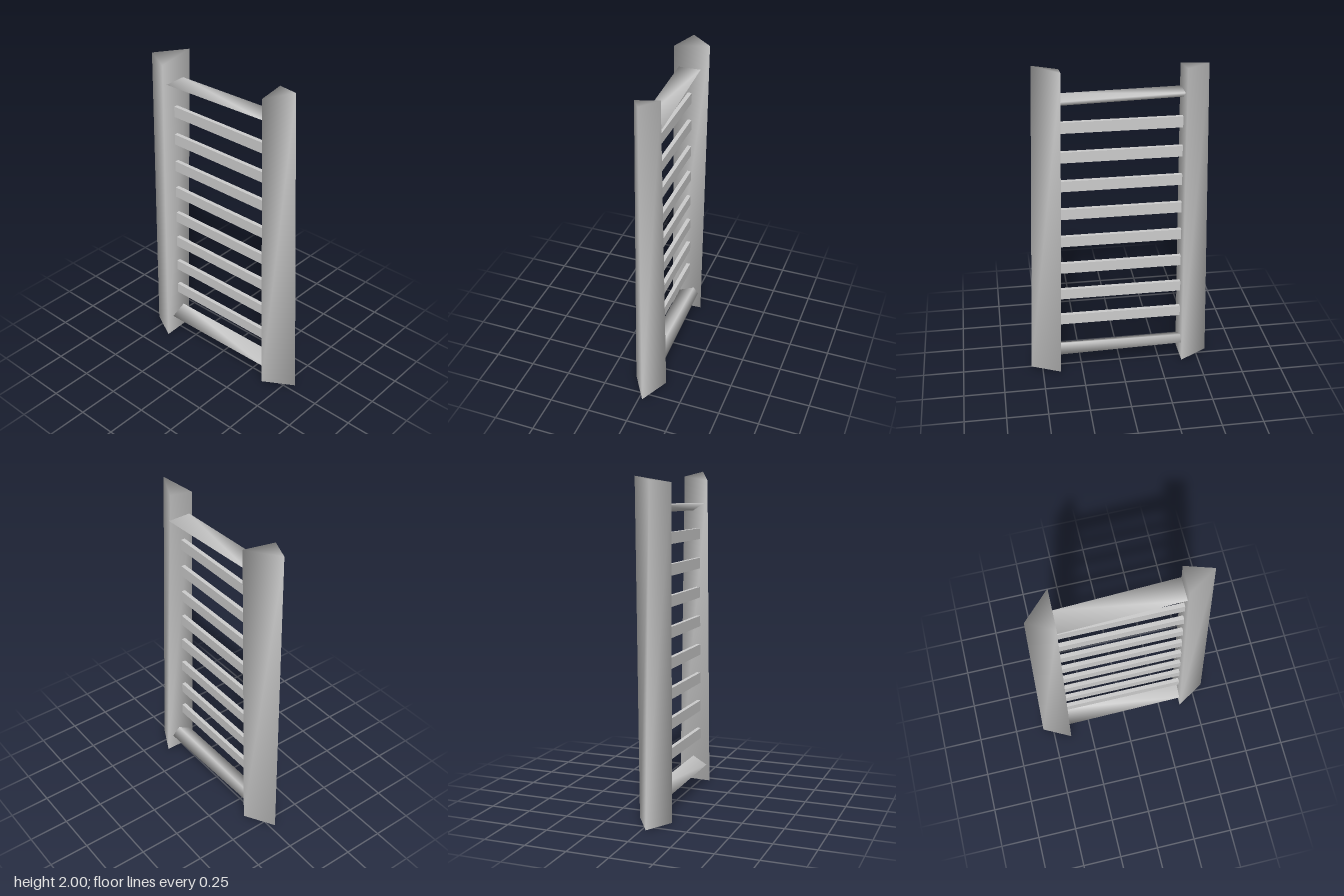
import * as THREE from 'three';

// Smooth three-sided prism between two triangles, counter-clockwise seen from the b end.
function prism(name, a, b, material) {
  const geometry = new THREE.BufferGeometry();
  geometry.setAttribute('position', new THREE.Float32BufferAttribute([...a, ...b].flat(), 3));
  const index = [0, 2, 1, 3, 4, 5];
  for (let i = 0; i < 3; i++) {
    const j = (i + 1) % 3;
    index.push(i, j, j + 3, i, j + 3, i + 3);
  }
  geometry.setIndex(index);
  geometry.computeVertexNormals();
  const mesh = new THREE.Mesh(geometry, material);
  mesh.name = name;
  return mesh;
}

export function createModel() {
  const group = new THREE.Group();
  group.name = 'ladder';
  const grey = new THREE.MeshStandardMaterial({ color: 0xcccccc });
  grey.name = 'light grey';

  // Leaning, wedge-shaped posts with their points facing outwards
  group.add(prism('frontPost',
    [[-0.08, 0.02, 0.39], [0.03, 0.02, 0.57], [0.12, 0.025, 0.39]],
    [[-0.075, 1.945, 0.337], [0.01, 2.0, 0.495], [0.075, 1.97, 0.337]], grey));
  group.add(prism('backPost',
    [[-0.12, 0, -0.39], [0.08, 0.01, -0.39], [-0.03, 0.005, -0.567]],
    [[-0.11, 1.94, -0.367], [0.11, 1.975, -0.365], [-0.04, 1.955, -0.52]], grey));

  // Top beam with its ridge down, bottom beam with its ridge up
  group.add(prism('topBeam',
    [[-0.08, 1.812, -0.372], [0, 1.773, -0.372], [0.055, 1.815, -0.372]],
    [[-0.055, 1.81, 0.345], [0.02, 1.763, 0.345], [0.085, 1.808, 0.345]], grey));
  group.add(prism('bottomBeam',
    [[-0.07, 0.125, -0.392], [0.06, 0.13, -0.392], [0.03, 0.172, -0.392]],
    [[-0.06, 0.125, 0.39], [0.08, 0.128, 0.39], [0.03, 0.178, 0.39]], grey));

  // Flat rungs, fitted to the narrowing gap
  for (let i = 0; i < 8; i++) {
    const y = 0.335 + i * 0.1835;
    const front = 0.396 - 0.026 * y;
    const back = -0.393 + 0.011 * y;
    const rung = new THREE.Mesh(new THREE.BoxGeometry(0.025, 0.067, front - back), grey);
    rung.position.set(-0.01, y, (front + back) / 2);
    rung.name = 'rung' + (i + 1);
    group.add(rung);
  }
  return group;
}
